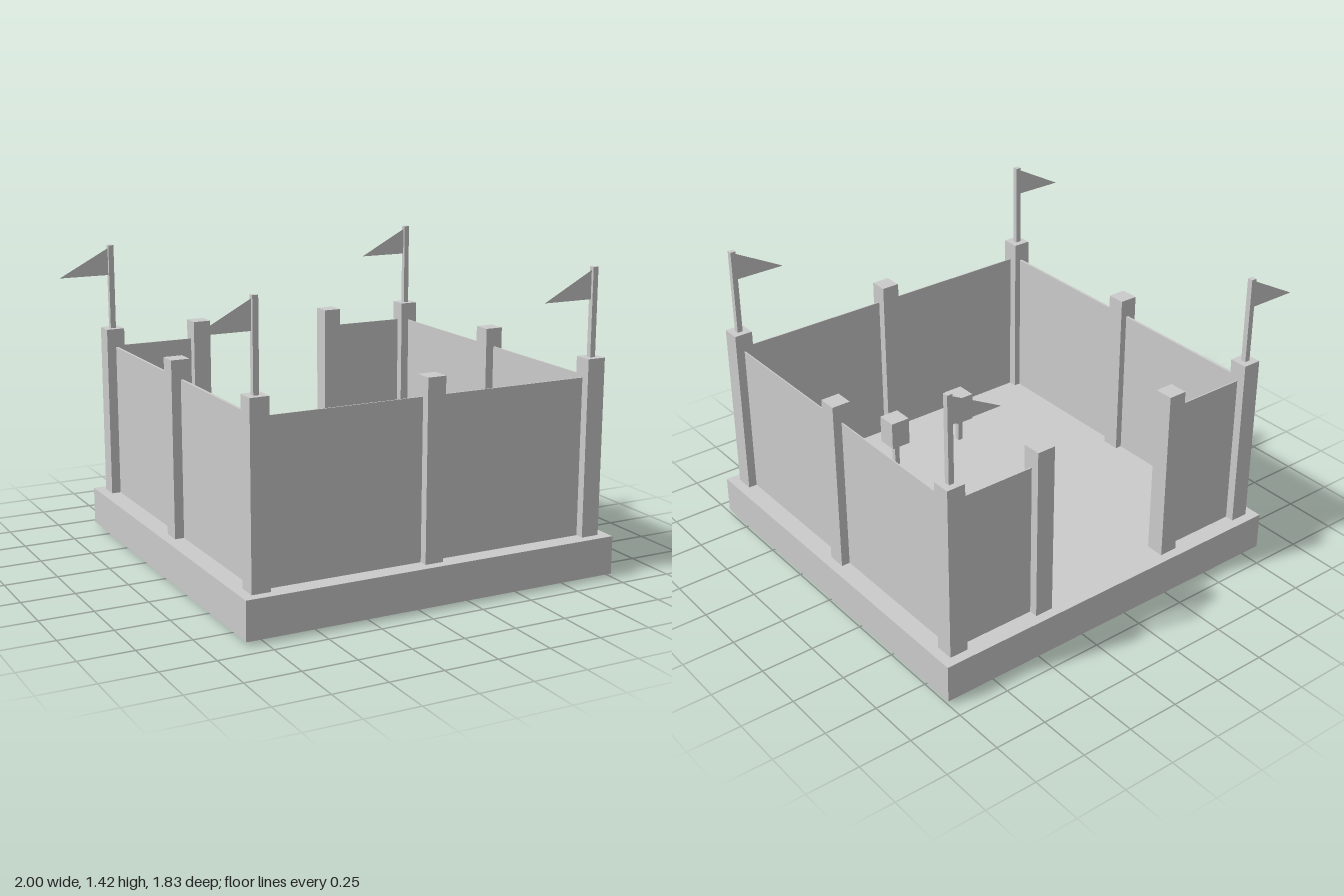
import * as THREE from 'three';

export function createModel() {
  const model = new THREE.Group();
  const mat = new THREE.MeshStandardMaterial({ color: 0xcccccc, flatShading: true });
  const thin = new THREE.MeshStandardMaterial({ color: 0xcccccc, side: THREE.DoubleSide });

  // Box given by its lower and upper corners
  const box = (name, [x0, y0, z0], [x1, y1, z1], parent = model) => {
    const mesh = new THREE.Mesh(new THREE.BoxGeometry(x1 - x0, y1 - y0, z1 - z0), mat);
    mesh.position.set((x0 + x1) / 2, (y0 + y1) / 2, (z0 + z1) / 2);
    mesh.name = name;
    parent.add(mesh);
  };
  // Square upright centred on x, z
  const post = (name, x, z, size, y0, y1, parent) =>
    box(name, [x - size / 2, y0, z - size / 2], [x + size / 2, y1, z + size / 2], parent);

  const floor = 0.195, wallTop = 0.93, pillarTop = 1.02;
  const xR = -0.742, xL = 0.906, zF = 0.822, zB = -0.827;
  const xMid = (xR + xL) / 2, zMid = (zF + zB) / 2;
  const gateR = -0.287, gateL = 0.447;

  // Base slab
  box('base', [-0.834, 0.016, -0.917], [0.998, floor, 0.913]);

  // Thin walls, whose lower edges run through the slab
  const t = 0.003;
  box('frontWall', [xR, 0, zF - t], [xL, wallTop, zF + t]);
  box('backWallRight', [xR, 0, zB - t], [gateR, wallTop, zB + t]);
  box('backWallLeft', [gateL, 0, zB - t], [xL, wallTop, zB + t]);
  box('leftWall', [xL - t, 0, zB], [xL + t, wallTop, zF]);
  box('rightWall', [xR, 0, zB], [xR + 0.012, wallTop, zF]);

  // Pillars along the walls and beside the gateway
  const middles = [[xMid, zF], [xR, zMid], [xL, zMid], [gateR, zB], [gateL, zB]];
  for (const [x, z] of middles) post('pillar', x, z, 0.088, floor, pillarTop);

  // Corner pillars with pole and pennant
  const pennant = new THREE.Shape([
    new THREE.Vector2(-0.013, 0.39),
    new THREE.Vector2(-0.258, 0.26),
    new THREE.Vector2(-0.013, 0.26),
  ]);
  for (const x of [xR, xL]) for (const z of [zF, zB]) {
    const corner = new THREE.Group();
    corner.name = 'cornerTower';
    post('cornerPillar', x, z, 0.088, floor, pillarTop, corner);
    post('flagPole', x, z, 0.026, pillarTop, 1.425, corner);
    const flag = new THREE.Mesh(new THREE.ShapeGeometry(pennant), thin);
    flag.position.set(x, pillarTop, z);
    flag.name = 'flag';
    corner.add(flag);
    model.add(corner);
  }

  // Row of small blocks on stems inside the yard
  for (const x of [-0.13, 0.26, 0.63]) {
    const stand = new THREE.Group();
    stand.name = 'yardStand';
    post('standStem', x, 0.52, 0.026, floor, 0.32, stand);
    post('standBlock', x, 0.52, 0.1, 0.32, 0.46, stand);
    model.add(stand);
  }
  return model;
}
